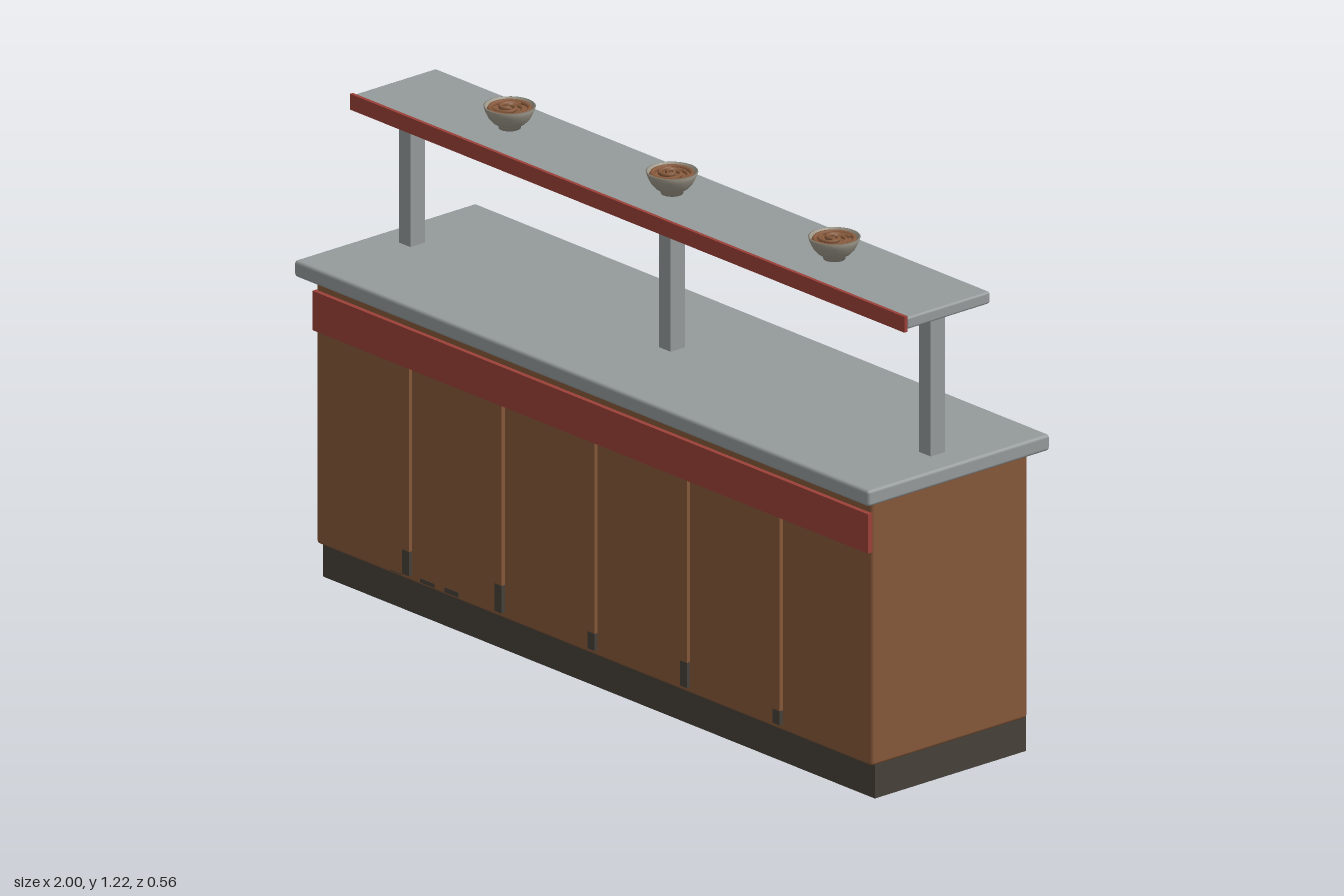
import * as THREE from 'three';
import { RoundedBoxGeometry } from 'three/addons/geometries/RoundedBoxGeometry.js';

const mat = (name, color, side = THREE.FrontSide) => {
  const m = new THREE.MeshStandardMaterial({ color, side });
  m.name = name;
  return m;
};

export function createModel() {
  const root = new THREE.Group();
  root.name = 'servingCounter';
  const wood = mat('wood', 0x855839);
  const red = mat('redTrim', 0x9b4038);
  const dark = mat('darkPlinth', 0x464139);
  const steel = mat('steel', 0x959a9b);
  const ceramic = mat('ceramic', 0xa09a8c, THREE.DoubleSide);
  const food = mat('food', 0x8a5c3e);

  // Box given by its lower and upper corners, with an optional rounded edge
  const box = (name, m, [x0, y0, z0], [x1, y1, z1], bevel = 0) => {
    const s = [x1 - x0, y1 - y0, z1 - z0];
    const geo = bevel ? new RoundedBoxGeometry(...s, 2, bevel) : new THREE.BoxGeometry(...s);
    const mesh = new THREE.Mesh(geo, m);
    mesh.name = name;
    mesh.position.set((x0 + x1) / 2, (y0 + y1) / 2, (z0 + z1) / 2);
    root.add(mesh);
    return mesh;
  };

  // Cabinet
  box('plinth', dark, [-0.96, 0, -0.24], [0.96, 0.086, 0.225]);
  box('cabinetBody', wood, [-0.967, 0.084, -0.24], [0.967, 0.744, 0.24], 0.008);
  box('countertop', steel, [-1, 0.743, -0.28], [1, 0.783, 0.28], 0.008);
  box('frontBand', red, [-0.967, 0.613, 0.238], [0.967, 0.71, 0.252]);

  // Battens with worn feet
  const wear = [0.16, 0.168, 0.142, 0.162, 0.135];
  wear.forEach((top, i) => {
    const x = (i - 2) * 0.3225;
    box('batten', wood, [x - 0.012, top, 0.238], [x + 0.012, 0.62, 0.25]);
    box('battenFoot', dark, [x - 0.012, 0.1, 0.238], [x + 0.012, top, 0.25]);
  });

  // Scuffs along the lower front edge
  [[-0.69, 0.04, 0.093], [-0.58, 0.05, 0.101], [-0.495, 0.05, 0.103]].forEach(([x, w, top]) => {
    box('scuff', dark, [x - w / 2, 0.091, 0.237], [x + w / 2, top, 0.2408]);
  });

  // Raised shelf on posts
  for (const x of [-0.905, 0, 0.905])
    box('shelfPost', steel, [x - 0.02, 0.78, -0.022], [x + 0.02, 1.138, 0.022]);
  box('shelf', steel, [-0.965, 1.134, -0.127], [0.965, 1.164, 0.129], 0.006);
  box('shelfTrim', red, [-0.965, 1.129, 0.129], [0.965, 1.168, 0.138]);

  // Bowls of noodles
  const v = (r, y) => new THREE.Vector2(r, y);
  const bowlGeo = new THREE.LatheGeometry([
    v(0, 0), v(0.026, 0), v(0.026, 0.007), v(0.038, 0.014), v(0.049, 0.026),
    v(0.057, 0.042), v(0.061, 0.054), v(0.057, 0.055), v(0.052, 0.04),
  ], 24);
  const brothGeo = new THREE.CircleGeometry(0.053, 24).rotateX(-Math.PI / 2);
  const ringGeo = new THREE.TorusGeometry(0.047, 0.006, 6, 24).rotateX(Math.PI / 2);
  const strand = [];
  for (let i = 0; i <= 12; i++) {
    const t = i / 12, a = t * 3.8, r = 0.008 + 0.032 * t;
    strand.push(new THREE.Vector3(Math.cos(a) * r, 0.052 - 0.006 * t, Math.sin(a) * r));
  }
  const strandGeo = new THREE.TubeGeometry(new THREE.CatmullRomCurve3(strand), 24, 0.005, 6);

  for (let i = -1; i <= 1; i++) {
    const bowl = new THREE.Group();
    bowl.name = 'noodleBowl';
    const add = (name, geo, m, y = 0, turn = 0) => {
      const mesh = new THREE.Mesh(geo, m);
      mesh.name = name;
      mesh.position.y = y;
      mesh.rotation.y = turn;
      bowl.add(mesh);
    };
    add('bowlShell', bowlGeo, ceramic);
    add('broth', brothGeo, food, 0.044);
    add('noodleRing', ringGeo, food, 0.047);
    for (let k = 0; k < 3; k++) add('noodleStrand', strandGeo, food, 0, (k * Math.PI * 2) / 3);
    bowl.position.set(i * 0.565, 1.164, 0);
    bowl.rotation.y = i * 0.8;
    root.add(bowl);
  }
  return root;
}
